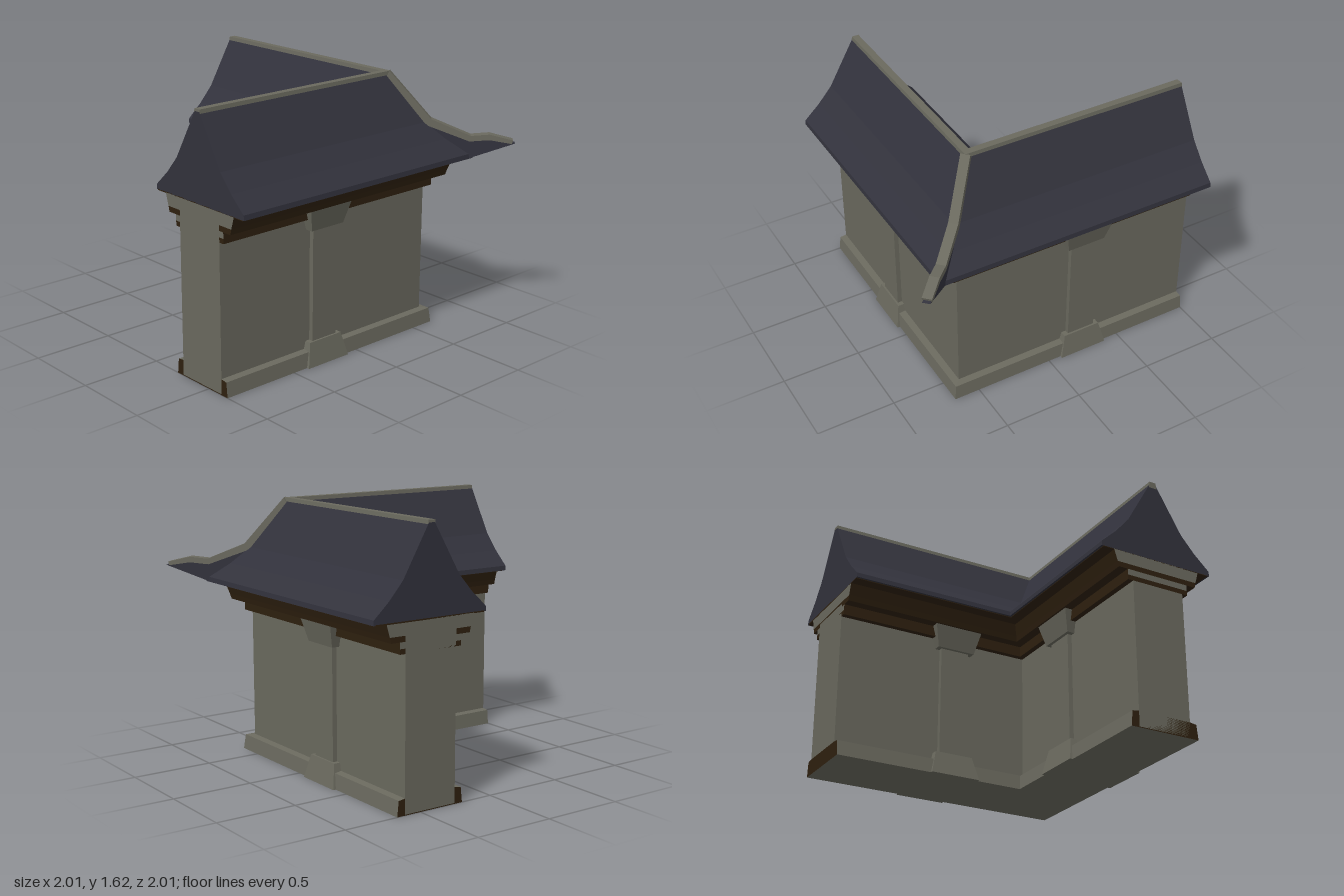
import * as THREE from 'three';

// Ridge lines of the two wings, which meet at the outer corner
const CX = 0.432, CZ = 0.438, END = -1;

const mat = (name, color) => {
  const m = new THREE.MeshStandardMaterial({ color });
  m.name = name;
  return m;
};

// Mirrors a half profile of [offset, height], listed from bottom to top
const mirrored = half => [...half, ...half.map(([d, y]) => [-d, y]).reverse()];

// Sweeps a profile along the L-shaped plan with a mitred corner and closed ends
function sweep(name, half, sideMat, endMat = sideMat) {
  const prof = mirrored(half), n = prof.length, pos = [];
  const a = ([d, y]) => [END, y, CZ + d];
  const c = ([d, y]) => [CX + d, y, CZ + d];
  const b = ([d, y]) => [CX + d, y, END];
  const quad = (p, q, r, s) => pos.push(...p, ...q, ...r, ...p, ...r, ...s);
  for (let i = 0; i < n; i++) {
    const p = prof[i], q = prof[(i + 1) % n];
    quad(a(q), a(p), c(p), c(q));
    quad(c(q), c(p), b(p), b(q));
  }
  const sideCount = pos.length / 3;
  const flat = prof.map(([d, y]) => new THREE.Vector2(d, y));
  for (const [i, j, k] of THREE.ShapeUtils.triangulateShape(flat, [])) {
    pos.push(...a(prof[i]), ...a(prof[j]), ...a(prof[k]));
    pos.push(...b(prof[k]), ...b(prof[j]), ...b(prof[i]));
  }
  const g = new THREE.BufferGeometry();
  g.setAttribute('position', new THREE.Float32BufferAttribute(pos, 3));
  g.addGroup(0, sideCount, 0);
  g.addGroup(sideCount, pos.length / 3 - sideCount, 1);
  g.computeVertexNormals();
  const mesh = new THREE.Mesh(g, [sideMat, endMat]);
  mesh.name = name;
  return mesh;
}

// Box whose half width and half depth differ between bottom and top
function taper(name, [w0, d0, y0], [w1, d1, y1], material) {
  const g = new THREE.BoxGeometry(2, 2, 2), p = g.attributes.position;
  for (let i = 0; i < p.count; i++) {
    const up = p.getY(i) > 0;
    p.setXYZ(i, p.getX(i) * (up ? w1 : w0), up ? y1 : y0, p.getZ(i) * (up ? d1 : d0));
  }
  g.computeVertexNormals();
  const mesh = new THREE.Mesh(g, material);
  mesh.name = name;
  return mesh;
}

// Plate standing on the corner diagonal, from points of [offset, height]
function diagonalPlate(name, pts, width, material) {
  const shape = new THREE.Shape(pts.map(([s, y]) => new THREE.Vector2(s * Math.SQRT2, y)));
  const g = new THREE.ExtrudeGeometry(shape, { depth: width, bevelEnabled: false });
  g.translate(0, 0, -width / 2);
  g.rotateY(-Math.PI / 4);
  g.translate(CX, 0, CZ);
  const mesh = new THREE.Mesh(g, material);
  mesh.name = name;
  return mesh;
}

export function createModel() {
  const stone = mat('stone', 0x6a695e);
  const wood = mat('dark wood', 0x2e200f);
  const tile = mat('slate roof', 0x32323c);
  const model = new THREE.Group();
  model.name = 'cornerWall';

  // Walls and plinth
  model.add(
    sweep('wall', [[0.173, 0.005], [0.173, 1.06]], stone),
    sweep('plinth', [[0.226, 0], [0.216, 0.092], [0.172, 0.098]], stone, wood),
  );

  // Stepped wooden cornice and soffit
  model.add(
    sweep('lowerCornice', [[0.208, 0.905], [0.208, 0.935]], wood),
    sweep('lowerCorniceTop', [[0.208, 0.935], [0.208, 0.972]], wood, stone),
    sweep('upperCornice', [[0.268, 0.972], [0.276, 1.005]], wood),
    sweep('upperCorniceTop', [[0.276, 1.005], [0.298, 1.079]], wood, stone),
    sweep('soffit', [[0.37, 1.076], [0.37, 1.084]], wood),
  );

  // Curved roof and ridge cap
  model.add(
    sweep('roof', [[0.383, 1.08], [0.38, 1.11], [0.28, 1.202], [0.19, 1.305], [0.02, 1.6]], tile),
    sweep('ridgeCap', [[0.027, 1.575], [0.022, 1.615]], stone),
  );

  // Upswept hip at the outer corner
  model.add(
    diagonalPlate('hipFin', [[0.15, 1.2], [0.36, 1.08], [0.56, 1.18], [0.45, 1.21],
      [0.37, 1.2], [0.2, 1.3]], 0.045, tile),
    diagonalPlate('hipCap', [[0, 1.575], [0.175, 1.29], [0.365, 1.19], [0.45, 1.2],
      [0.545, 1.178], [0.55, 1.2], [0.45, 1.235], [0.37, 1.225], [0.2, 1.325], [0.02, 1.615]], 0.058, stone),
  );

  // One pilaster per wing, showing on both faces of the wall
  const wings = [['Front', -0.2425, CZ, 0], ['Side', CX, -0.24, Math.PI / 2]];
  for (const [label, x, z, turn] of wings) {
    const pilaster = new THREE.Group();
    pilaster.name = 'pilaster' + label;
    pilaster.add(
      taper('pilasterBase', [0.158, 0.244, 0], [0.123, 0.214, 0.145], stone),
      taper('pilasterShaft', [0.093, 0.202, 0.14], [0.093, 0.202, 0.84], stone),
      taper('pilasterCapital', [0.123, 0.222, 0.835], [0.158, 0.257, 0.974], stone),
    );
    pilaster.position.set(x, 0, z);
    pilaster.rotation.y = turn;
    model.add(pilaster);
  }
  return model;
}
